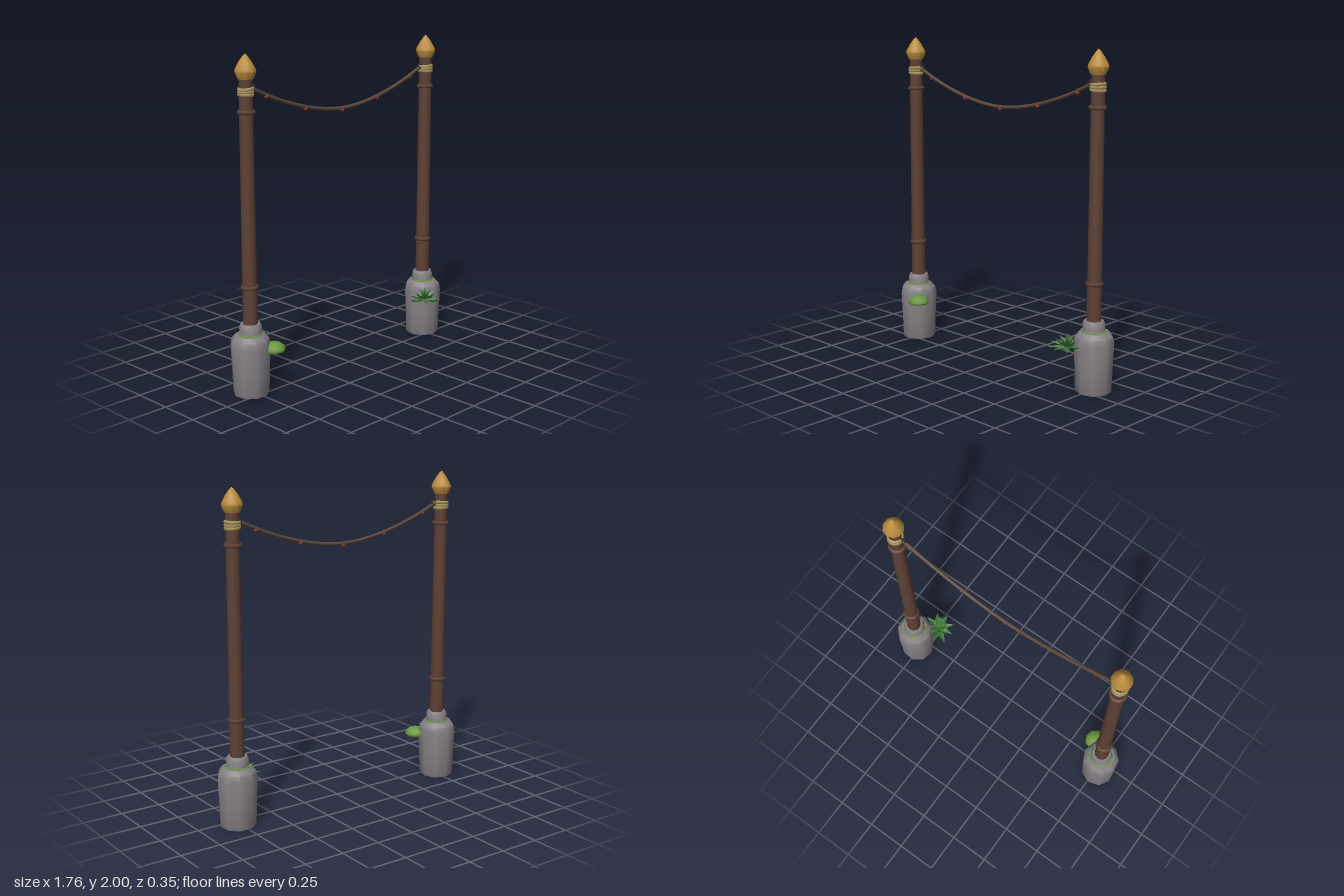
import * as THREE from 'three';
import { toCreasedNormals } from 'three/addons/utils/BufferGeometryUtils.js';

const mat = (name, color, side = THREE.FrontSide) => {
  const m = new THREE.MeshStandardMaterial({ color, side });
  m.name = name;
  return m;
};

export function createModel() {
  const stone = mat('stone', 0x858084);
  const wood = mat('wood', 0x5e4135);
  const rope = mat('rope', 0x5c483c);
  const iron = mat('iron', 0x3a2c28);
  const gold = mat('gold', 0xb98b3c);
  const twine = mat('twine', 0xa8945e);
  const moss = mat('moss', 0x6a963f);
  const leafGreen = mat('leaf green', 0x447a3c, THREE.DoubleSide);
  const red = mat('berry red', 0x9a3a30);

  const Z = -0.06;
  const model = new THREE.Group();
  model.name = 'ropeGate';

  const add = (parent, name, geo, material, x = 0, y = 0, z = 0) => {
    const mesh = new THREE.Mesh(geo, material);
    mesh.name = name;
    mesh.position.set(x, y, z);
    parent.add(mesh);
    return mesh;
  };
  const lathe = (pts, sides, crease = 0.75) =>
    toCreasedNormals(new THREE.LatheGeometry(pts.map(([r, y]) => new THREE.Vector2(r, y)), sides), crease);
  const ring = (r, tube, sides = 12) => new THREE.TorusGeometry(r, tube, 6, sides).rotateX(Math.PI / 2);

  // Posts on stone feet
  for (const side of [-1, 1]) {
    const post = new THREE.Group();
    post.name = side < 0 ? 'rightPost' : 'leftPost';
    post.position.set(side * 0.761, 0, Z);
    model.add(post);

    const foot = add(post, 'stoneFoot', lathe([
      [0, 0], [0.104, 0], [0.109, 0.015], [0.113, 0.15], [0.12, 0.3], [0.112, 0.34], [0.088, 0.367], [0, 0.369],
    ], 9), stone, side * 0.004);
    foot.rotation.y = side < 0 ? 0.3 : 0.65;
    add(post, 'mossRing', ring(0.068, 0.009, 10), moss, 0, 0.367).scale.y = 0.7;
    add(post, 'stoneCollar', lathe([
      [0.067, 0.36], [0.067, 0.415], [0.058, 0.432], [0, 0.432],
    ], 12), stone);
    add(post, 'shaft', new THREE.CylinderGeometry(0.04, 0.045, 1.45, 10), wood, 0, 1.145);
    for (const y of [0.653, 1.673]) add(post, 'shaftRing', ring(0.042, 0.0125), wood, 0, y);

    // Twine wrapped around the shaft
    for (let i = 0; i < 3; i++) {
      const wrap = add(post, 'twineWrap', ring(0.039, 0.0115), twine, 0, 1.771 + i * 0.016);
      wrap.rotation.z = (i - 1) * 0.07;
    }
    add(post, 'finial', lathe([
      [0, 1.858], [0.046, 1.858], [0.063, 1.9], [0.058, 1.918], [0.037, 1.955], [0.016, 1.984], [0, 2],
    ], 10, 0.8), gold);
    add(post, 'hook', new THREE.TorusGeometry(0.016, 0.0055, 6, 12), iron, -side * 0.056, 1.803);
  }

  // Sagging rope with berries beneath
  const half = 0.705;
  const ropeY = (x) => 1.612 + 0.185 * Math.pow(Math.abs(x) / half, 1.8);
  const path = [];
  for (let i = 0; i <= 12; i++) {
    const x = -half + (i / 6) * half;
    path.push(new THREE.Vector3(x, ropeY(x), Z));
  }
  add(model, 'rope', new THREE.TubeGeometry(new THREE.CatmullRomCurve3(path), 40, 0.011, 7), rope);
  for (const x of [-0.61, -0.305, 0, 0.305, 0.61]) {
    add(model, 'berry', new THREE.SphereGeometry(0.0135, 8, 6), red, x, ropeY(x) - 0.009, Z);
  }

  // Moss cushion: flattened dome with a closed underside
  const cushion = add(model, 'mossCushion', lathe([
    [0, 0], [0.062, 0], [0.068, 0.012], [0.058, 0.034], [0.034, 0.049], [0, 0.054],
  ], 8, 0.9), moss, -0.66, 0.26, 0.033);
  cushion.rotation.y = 0.2;

  // Leaf: folded diamond along +z, with a raised middle and an optional droop
  const leafGeometry = (length, width) => {
    const l = length, w = width / 2;
    const base = [0, 0, 0], tip = [0, 0, l], mid = [0, -w * 0.5, l * 0.5];
    const a = [-w, w * 0.3, l * 0.5], b = [w, w * 0.3, l * 0.5];
    const geo = new THREE.BufferGeometry();
    const faces = [base, a, mid, a, tip, mid, base, mid, b, mid, tip, b];
    // Corners run so that the upper side is the front
    const pos = [];
    for (let i = 0; i < faces.length; i += 3) pos.push(...faces[i], ...faces[i + 2], ...faces[i + 1]);
    geo.setAttribute('position', new THREE.Float32BufferAttribute(pos, 3));
    geo.computeVertexNormals();
    return geo;
  };
  const plant = new THREE.Group();
  plant.name = 'plant';
  plant.position.set(0.657, 0.272, 0.055);
  model.add(plant);
  // Tiers: count, length, width, upward tilt, turn
  const tiers = [[9, 0.113, 0.04, 0.07, 0], [6, 0.092, 0.036, 0.6, 0.3], [4, 0.082, 0.028, 1.1, 0.7]];
  for (const [count, length, width, tilt, turn] of tiers) {
    const geo = leafGeometry(length, width);
    for (let i = 0; i < count; i++) {
      const leaf = add(plant, 'leaf', geo, leafGreen);
      leaf.rotation.order = 'YXZ';
      leaf.rotation.set(-tilt + 0.1 * Math.sin(i * 2.4), turn + (i / count) * Math.PI * 2, 0);
    }
  }
  return model;
}
